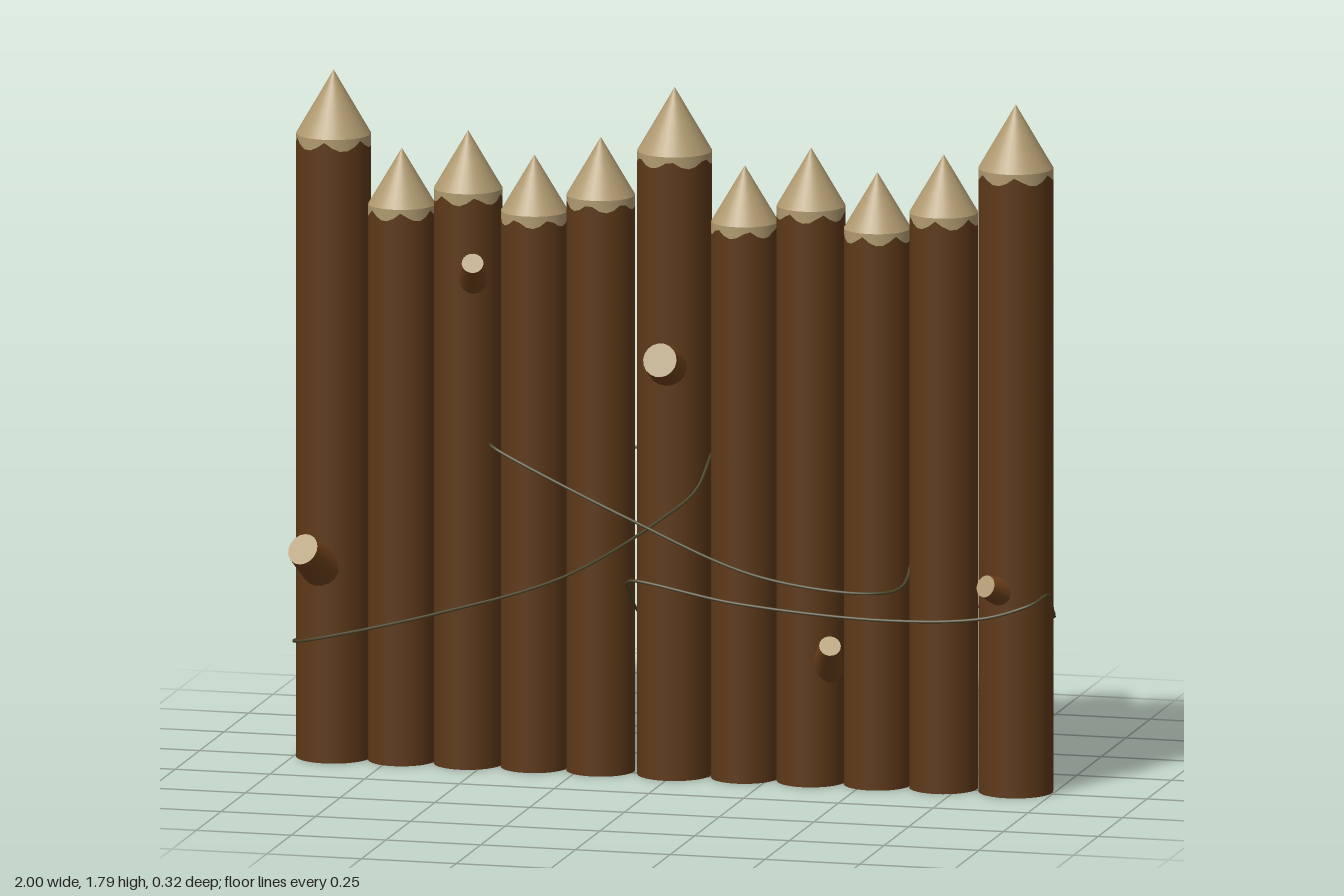
import * as THREE from 'three';
import { mergeGeometries } from 'three/addons/utils/BufferGeometryUtils.js';

const bark = new THREE.MeshStandardMaterial({ color: 0x5e3919 });
const branchBark = new THREE.MeshStandardMaterial({ color: 0x6e411b });
const cutWood = new THREE.MeshStandardMaterial({ color: 0xb09a70 });
const vineGreen = new THREE.MeshStandardMaterial({ color: 0x4a4426 });

const SIDES = 30;
const Z = -0.014;

function mesh(name, geometry, material) {
  const m = new THREE.Mesh(geometry, material);
  m.name = name;
  return m;
}

// Moves one edge of an upright tube up and down in scallops around the axis
function scallop(geometry, edgeY, depth, phase) {
  const p = geometry.attributes.position;
  for (let i = 0; i < p.count; i++) {
    if (Math.abs(p.getY(i) - edgeY) > 1e-4) continue;
    const a = Math.atan2(p.getZ(i), p.getX(i));
    p.setY(i, edgeY - depth * Math.abs(Math.cos(3 * a + phase)));
  }
  return geometry;
}

// Upright log with a sharpened point; the bark ends in a wavy line
function makeLog(x, r, shoulder, tip, phase) {
  const log = new THREE.Group();
  log.name = 'log';
  const edge = shoulder - 0.008;
  const wave = 0.024;

  const trunk = new THREE.CylinderGeometry(r, r, edge, SIDES, 1, true).translate(0, edge / 2, 0);
  log.add(mesh('trunk', scallop(trunk, edge, wave, phase), bark));

  const collar = new THREE.CylinderGeometry(r, r, shoulder - edge, SIDES, 1, true)
    .translate(0, (shoulder + edge) / 2, 0);
  const cone = new THREE.ConeGeometry(r, tip - shoulder, SIDES, 4, true)
    .translate(0, (shoulder + tip) / 2, 0);
  log.add(mesh('point', mergeGeometries([scallop(collar, edge, wave, phase), cone]), cutWood));

  const foot = new THREE.CircleGeometry(r, SIDES).rotateX(Math.PI / 2);
  log.add(mesh('foot', foot, cutWood));

  log.position.set(x, 0, Z);
  return log;
}

// Sawn-off branch from a point inside a log to its cut end
function makeBranch(from, to, rBase, rEnd) {
  const a = new THREE.Vector3(...from);
  const dir = new THREE.Vector3(...to).sub(a);
  const len = dir.length();
  const branch = new THREE.Group();
  branch.name = 'branchStub';
  branch.add(mesh('stubBark',
    new THREE.CylinderGeometry(rEnd, rBase, len, 18, 1, true).translate(0, len / 2, 0), branchBark));
  branch.add(mesh('stubEnd',
    new THREE.CircleGeometry(rEnd, 18).rotateX(-Math.PI / 2).translate(0, len, 0), cutWood));
  branch.position.copy(a);
  branch.quaternion.setFromUnitVectors(new THREE.Vector3(0, 1, 0), dir.normalize());
  return branch;
}

export function createModel() {
  const model = new THREE.Group();
  model.name = 'palisade';

  // Logs: three tall posts with short and medium logs between them
  const kinds = {
    tall: [0.096, 1.625, 1.79],
    medium: [0.088, 1.5, 1.65],
    short: [0.086, 1.45, 1.595],
  };
  const row = [
    [-0.9, 'tall'], [-0.72, 'short'], [-0.545, 'medium'], [-0.37, 'short'], [-0.195, 'medium'],
    [0, 'tall'], [0.185, 'short'], [0.36, 'medium'], [0.535, 'short'], [0.71, 'medium'], [0.9, 'tall'],
  ];
  row.forEach(([x, kind], i) => model.add(makeLog(x, ...kinds[kind], i * 0.7)));

  // Branch stubs on the front
  const stubs = [
    [[-0.905, 0.49, 0.02], [-0.942, 0.567, 0.138], 0.062, 0.042],
    [[-0.525, 1.25, 0.02], [-0.5, 1.33, 0.115], 0.042, 0.028],
    [[0, 1.06, 0.01], [0, 1.107, 0.138], 0.06, 0.044],
    [[0.41, 0.3, 0.02], [0.443, 0.38, 0.115], 0.042, 0.028],
    [[0.9, 0.515, 0.02], [0.853, 0.556, 0.113], 0.044, 0.029],
  ];
  for (const s of stubs) model.add(makeBranch(...s));

  // One thin vine weaving back and forth around the logs
  const path = [
    [-0.985, 0.3, -0.04], [-0.995, 0.305, 0.03], [-0.95, 0.318, 0.082], [-0.6, 0.41, 0.11],
    [-0.25, 0.53, 0.122], [0, 0.69, 0.112], [0.08, 0.76, 0.085], [0.1, 0.84, 0],
    [0.095, 0.85, -0.1], [0.05, 0.835, -0.122], [-0.17, 0.82, -0.128], [-0.4, 0.805, -0.105],
    [-0.455, 0.82, -0.03], [-0.47, 0.845, 0.05], [-0.43, 0.83, 0.075], [-0.1, 0.69, 0.115],
    [0.25, 0.555, 0.125], [0.55, 0.52, 0.105], [0.615, 0.53, 0.05], [0.62, 0.6, -0.04],
    [0.6, 0.64, -0.115], [0.56, 0.625, -0.138], [0.35, 0.54, -0.152], [0.08, 0.425, -0.13],
    [-0.06, 0.39, -0.11], [-0.1, 0.4, -0.07], [-0.105, 0.48, 0.04], [-0.09, 0.52, 0.1],
    [0.2, 0.48, 0.125], [0.6, 0.455, 0.12], [0.85, 0.472, 0.112], [0.97, 0.51, 0.09],
    [0.995, 0.525, 0.03], [0.985, 0.47, -0.06], [0.97, 0.435, -0.112], [0.75, 0.455, -0.13],
    [0.45, 0.485, -0.122], [0.3, 0.505, -0.105], [0.27, 0.52, -0.07],
  ].map((p) => new THREE.Vector3(...p));
  const curve = new THREE.CatmullRomCurve3(path, false, 'centripetal');
  model.add(mesh('vine', new THREE.TubeGeometry(curve, 320, 0.004, 6), vineGreen));

  return model;
}
